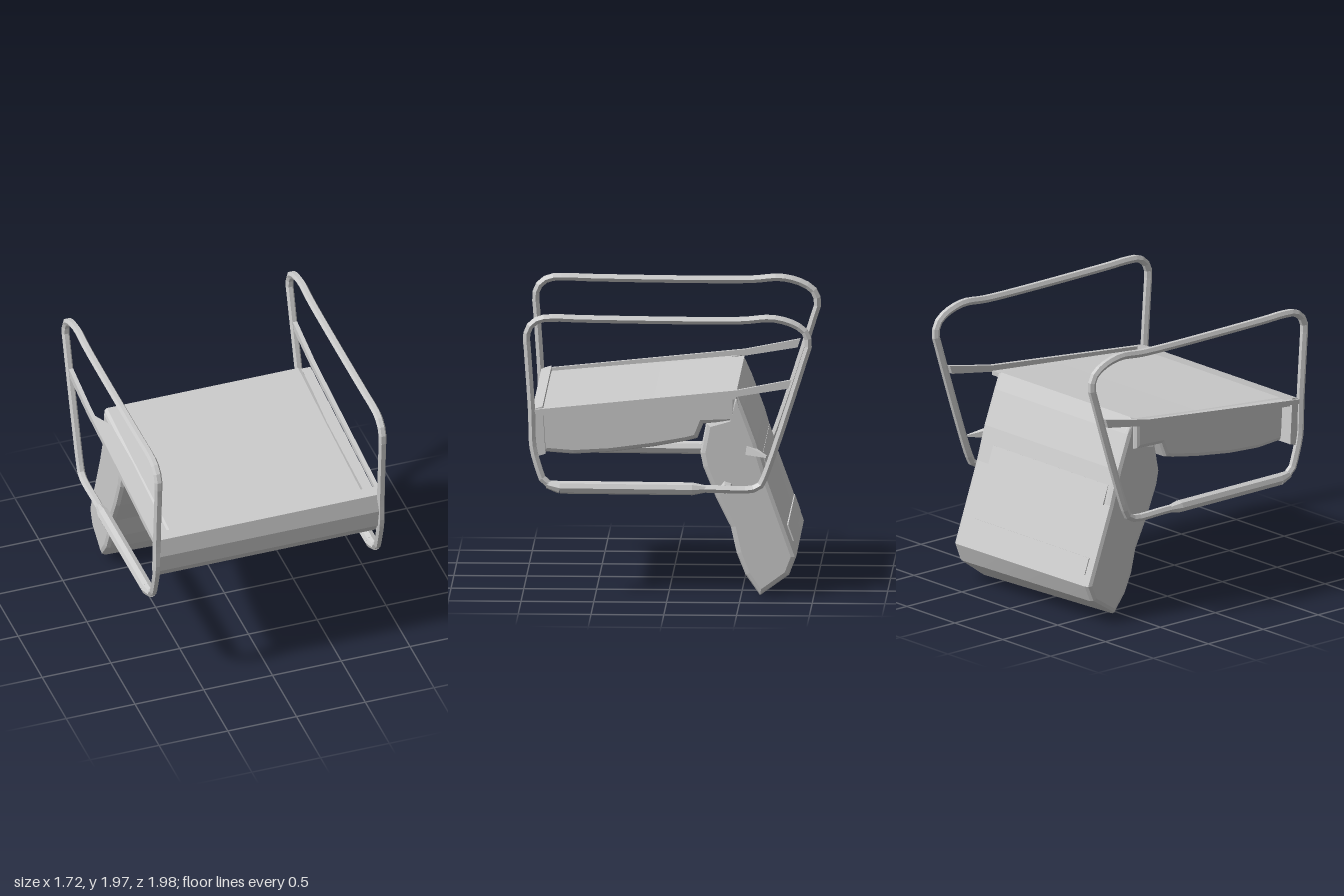
import * as THREE from 'three';

const mat = new THREE.MeshStandardMaterial({ color: 0xcccccc, flatShading: true, side: THREE.DoubleSide });

function add(group, name, geometry) {
  const mesh = new THREE.Mesh(geometry, mat);
  mesh.name = name;
  group.add(mesh);
  return mesh;
}

// Side profile of [z, y] points, extruded across x with softened ends
function slab(points, x0, x1, bevel) {
  const shape = new THREE.Shape(points.map(([z, y]) => new THREE.Vector2(z, y)));
  const g = new THREE.ExtrudeGeometry(shape, {
    depth: x1 - x0 - 2 * bevel, steps: 6, bevelEnabled: bevel > 0,
    bevelThickness: bevel, bevelSize: bevel, bevelOffset: -bevel, bevelSegments: 2,
  });
  g.rotateY(-Math.PI / 2);
  g.translate(x1 - bevel, 0, 0);
  return g;
}

function bend(geometry, rule) {
  const p = geometry.attributes.position;
  const v = new THREE.Vector3();
  for (let i = 0; i < p.count; i++) {
    v.fromBufferAttribute(p, i);
    rule(v);
    p.setXYZ(i, v.x, v.y, v.z);
  }
  geometry.computeVertexNormals();
  return geometry;
}

// Tapered bar between two points
function bar(a, b, r0, r1, sides = 6) {
  const from = new THREE.Vector3(...a), to = new THREE.Vector3(...b);
  const dir = to.clone().sub(from);
  const g = new THREE.CylinderGeometry(r1, r0, dir.length(), sides);
  g.applyQuaternion(new THREE.Quaternion().setFromUnitVectors(new THREE.Vector3(0, 1, 0), dir.normalize()));
  const mid = from.add(to).multiplyScalar(0.5);
  g.translate(mid.x, mid.y, mid.z);
  return g;
}

export function createModel() {
  const model = new THREE.Group();
  model.name = 'upturnedChair';

  // Seat cushion
  add(model, 'seatCushion', slab([
    [0.9, 1.3], [0.1, 1.37], [-0.47, 1.43], [-0.47, 1.21], [-0.24, 1.2], [-0.2, 1.1], [-0.12, 1.08],
    [0.1, 1.04], [0.4, 1.0], [0.65, 0.985], [0.85, 1.0], [0.9, 1.08],
  ], -0.72, 0.73, 0.03));

  // Front panel, full width between the frames
  add(model, 'frontPanel', slab([
    [0.86, 1.33], [0.93, 1.31], [0.95, 1.18], [0.935, 1.05], [0.89, 0.985], [0.84, 1.0],
  ], -0.82, 0.8, 0));

  // Thin sheet covering the seat, notched at one rear corner
  const plan = new THREE.Shape([
    [-0.8, -0.93], [0.79, -0.93], [0.79, 0.47], [-0.64, 0.47], [-0.69, 0.27], [-0.8, 0.45],
  ].map(([x, y]) => new THREE.Vector2(x, y)));
  const sheet = new THREE.ExtrudeGeometry(plan, { depth: 0.03, bevelEnabled: false });
  sheet.rotateX(-Math.PI / 2);
  add(model, 'seatSheet', bend(sheet, (v) => { v.y += 1.375 - 0.092 * v.z - 0.01; v.y -= 0.02; }));

  // Backrest cushion, its low end slightly askew
  const back = slab([
    [-0.47, 1.43], [-0.52, 1.32], [-0.61, 1.08], [-0.68, 0.84], [-0.88, 0.28], [-0.83, 0.15],
    [-0.63, 0.005], [-0.53, 0.15], [-0.47, 0.3], [-0.43, 0.48], [-0.33, 0.68], [-0.24, 0.9],
    [-0.22, 1.0], [-0.26, 1.21], [-0.4, 1.25],
  ], -0.68, 0.73, 0.035);
  add(model, 'backrestCushion', bend(back, (v) => {
    const low = Math.max(0, 1 - v.y / 0.4);
    v.y += low * 0.045 * (0.73 - v.x) / 1.41;
  }));

  // Raised patches on the rear of the backrest
  const lean = Math.atan2(0.2, 0.56);
  for (const [x, y, w, h] of [[-0.02, 0.9, 1.2, 0.14], [-0.02, 0.42, 1.2, 0.12]]) {
    const g = new THREE.BoxGeometry(w, h, 0.02);
    g.rotateX(lean);
    g.translate(x, y, -0.68 + (y - 0.84) * 0.357);
    add(model, 'backrestPatch', g);
  }

  // Side frames with arm pads and rails
  const loop = [
    [0.925, 1.05], [0.935, 1.3], [0.965, 1.75], [0.97, 1.83], [0.94, 1.9], [0.88, 1.94], [0.77, 1.95],
    [0.6, 1.945], [-0.5, 1.94], [-0.72, 1.955], [-0.87, 1.915], [-0.945, 1.86], [-0.968, 1.78],
    [-0.94, 1.68], [-0.67, 0.86], [-0.635, 0.79], [-0.58, 0.765], [-0.3, 0.765], [0.6, 0.765],
    [0.78, 0.775], [0.86, 0.83], [0.885, 0.9],
  ];
  for (const [side, x] of [['right', -0.818], ['left', 0.811]]) {
    const frame = new THREE.Group();
    frame.name = side + 'Frame';
    const curve = new THREE.CatmullRomCurve3(loop.map(([z, y]) => new THREE.Vector3(x, y, z)), true);
    add(frame, 'frameTube', new THREE.TubeGeometry(curve, 100, 0.028, 6, true));
    add(frame, 'armPad', bar([x, 0.77, 0.74], [x, 0.765, -0.17], 0.045, 0.045, 8));
    add(frame, 'padFrontEnd', bar([x, 0.77, 0.74], [x, 0.79, 0.83], 0.045, 0.028, 8));
    add(frame, 'padRearEnd', bar([x, 0.765, -0.17], [x, 0.765, -0.26], 0.045, 0.026, 8));
    // Flat rail along the seat edge, reaching the rear post
    add(frame, 'seatRail', slab([
      [0.93, 1.31], [-0.47, 1.455], [-0.85, 1.53], [-0.83, 1.47], [-0.47, 1.41], [0.93, 1.28],
    ], x - 0.015, x + 0.015, 0));
    model.add(frame);
  }

  // Brackets tying the backrest to the left frame
  add(model, 'pivotBracket', bar([0.66, 1.03, -0.5], [0.81, 0.99, -0.68], 0.06, 0.01, 4));
  add(model, 'armBracket', bar([0.68, 0.76, -0.4], [0.81, 0.765, -0.4], 0.06, 0.025, 5));

  return model;
}
